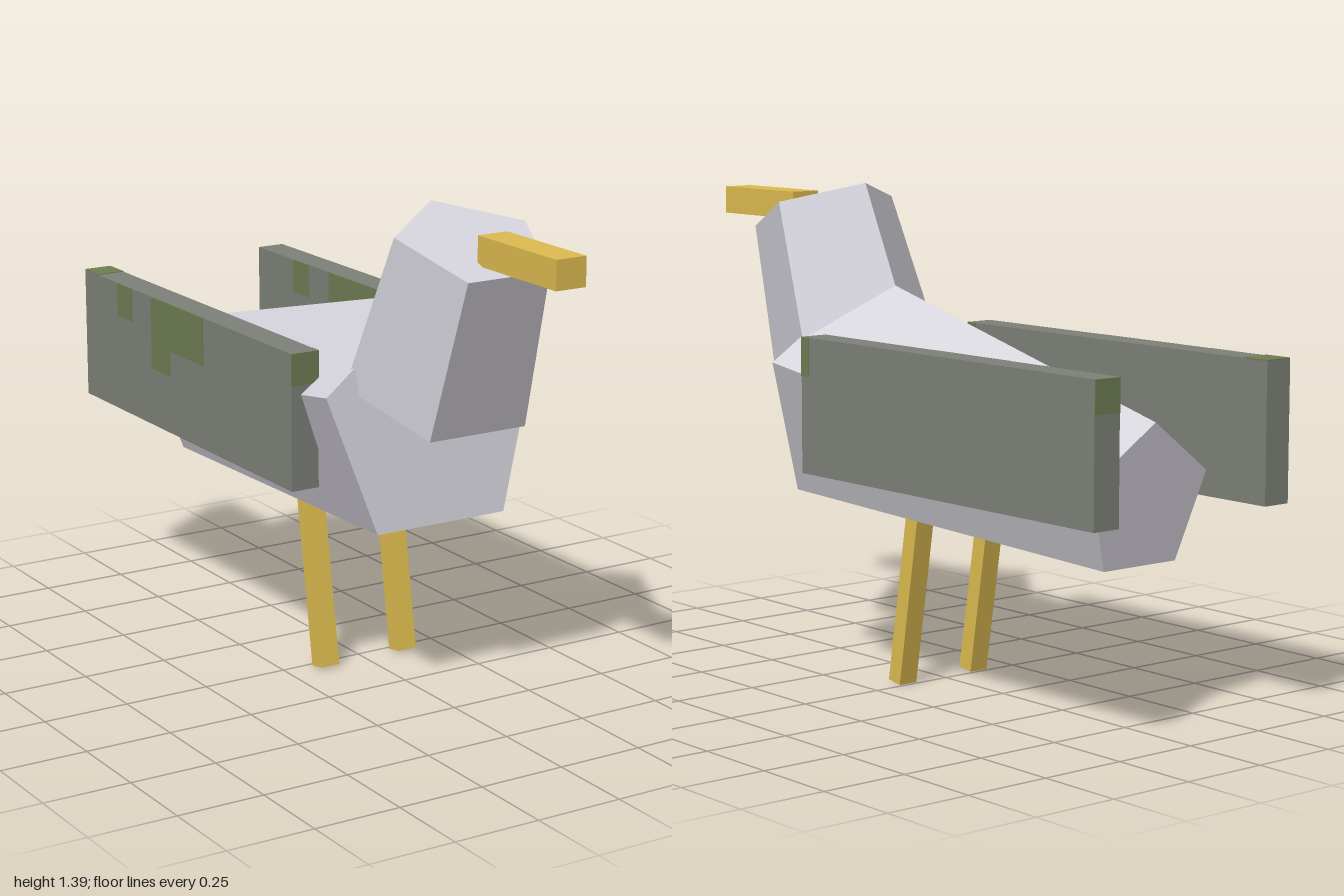
import * as THREE from 'three';

export function createModel() {
  const bird = new THREE.Group();
  bird.name = 'bird';

  const mat = (name, color) => {
    const m = new THREE.MeshStandardMaterial({ color });
    m.name = name;
    return m;
  };
  const plumage = mat('pale grey', 0xd5d3db);
  const wingGrey = mat('wing grey', 0x7f827a);
  const olive = mat('olive', 0x707e55);
  const yellow = mat('yellow', 0xdebd50);

  const add = (name, geometry, material, parent = bird) => {
    const mesh = new THREE.Mesh(geometry, material);
    mesh.name = name;
    parent.add(mesh);
    return mesh;
  };

  // Box given by its extents on each axis
  const box = (name, [x0, x1], [y0, y1], [z0, z1], material, parent) => {
    const mesh = add(name, new THREE.BoxGeometry(x1 - x0, y1 - y0, z1 - z0), material, parent);
    mesh.position.set((x0 + x1) / 2, (y0 + y1) / 2, (z0 + z1) / 2);
    return mesh;
  };

  // Tapered five-sided prism between two [y, z] points, ridge upwards
  const prism = (name, [y0, z0], r0, [y1, z1], r1) => {
    const dy = y1 - y0, dz = z1 - z0;
    const geo = new THREE.CylinderGeometry(r1, r0, Math.hypot(dy, dz), 5)
      .rotateY(Math.PI)
      .rotateX(Math.atan2(dz, dy))
      .toNonIndexed();
    geo.computeVertexNormals();
    add(name, geo, plumage).position.set(0, (y0 + y1) / 2, (z0 + z1) / 2);
  };

  prism('body', [0.617, -0.826], 0.216, [0.79, 0.388], 0.348);
  prism('head', [0.877, 0.403], 0.258, [1.316, 0.569], 0.217);

  box('beak', [-0.046, 0.046], [1.275, 1.355], [0.655, 1.0], yellow);

  // Legs, leaning back towards the hip
  for (const side of [-1, 1]) {
    const leg = add(side > 0 ? 'leftLeg' : 'rightLeg', new THREE.BoxGeometry(0.06, 0.56, 0.05), yellow);
    leg.position.set(side * 0.13, 0.28, -0.01);
    leg.rotation.x = -0.163;
  }

  // Wings: upright slabs with olive markings
  const top = 0.985, t = 0.002;
  for (const side of [-1, 1]) {
    const wing = new THREE.Group();
    wing.name = side > 0 ? 'leftWing' : 'rightWing';
    bird.add(wing);
    const x0 = side > 0 ? 0.26 : -0.345, x1 = x0 + 0.085;
    box('wingSlab', [x0, x1], [0.6, top], [-1, 0.215], wingGrey, wing);

    // Markings along the top edge: z start, z end, drop
    for (const [z0, z1, drop] of [[-0.79, -0.7, 0.1], [-0.58, -0.47, 0.215], [-0.47, -0.27, 0.14]]) {
      box('wingMarking', [x0 - t, x0 + t], [top - drop, top], [z0, z1], olive, wing);
    }
    box('shoulderMarking', [x1 - t, x1 + t], [0.875, top], [0.18, 0.215], olive, wing);

    // End markings
    if (side > 0) {
      box('tipMarking', [x0, x1], [0.895, top], [-1 - t, -1 + t], olive, wing);
    } else {
      box('frontMarking', [x0, x1], [0.895, top], [0.215 - t, 0.215 + t], olive, wing);
      box('topMarking', [x0, x1], [top - t, top + t], [-1, -0.915], olive, wing);
    }
  }

  return bird;
}
